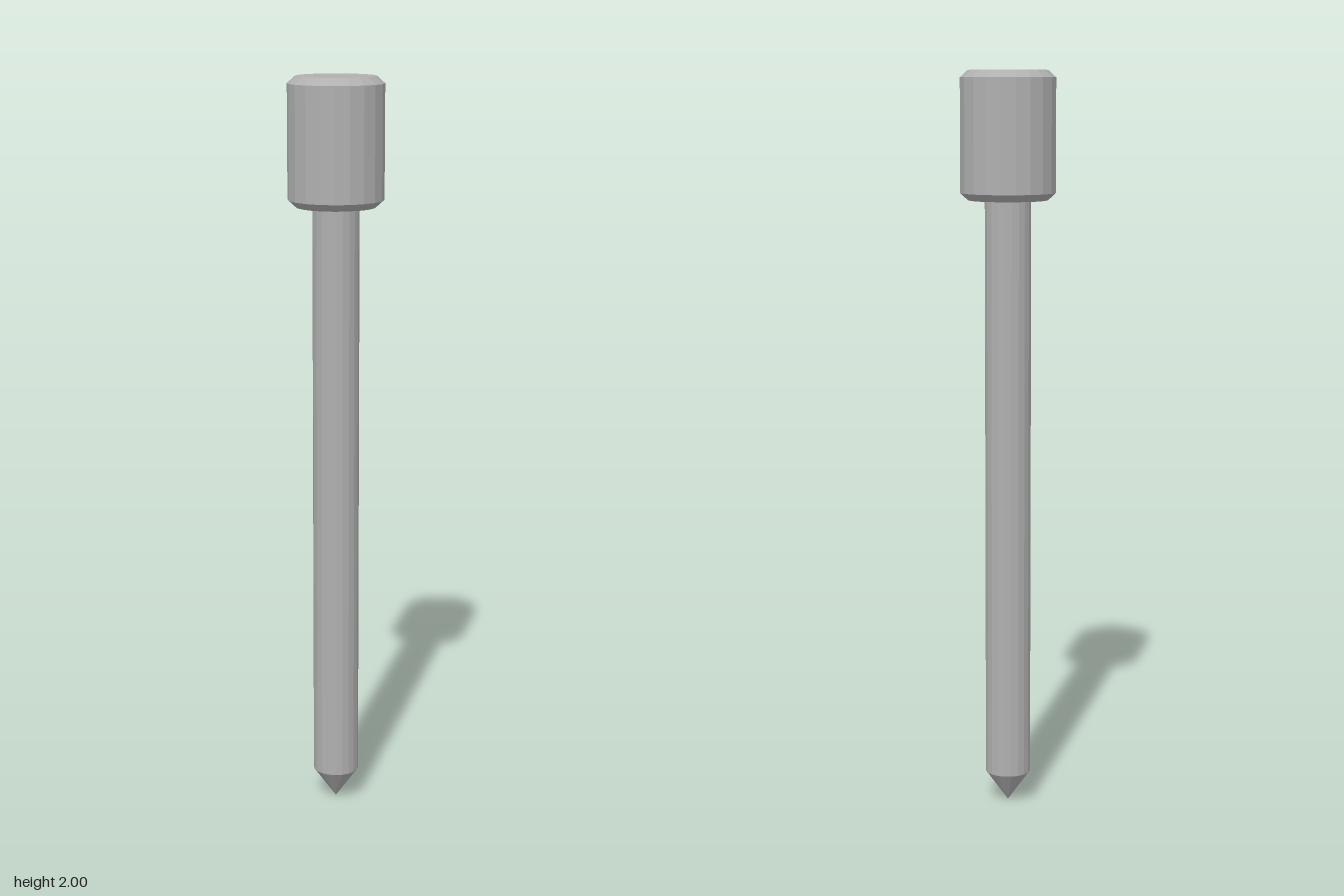
import * as THREE from 'three';

const SIDES = 20;

export function createModel() {
  const group = new THREE.Group();
  group.name = 'pin';
  const steel = new THREE.MeshStandardMaterial({ color: 0xb0b0b0, flatShading: true });
  steel.name = 'steel grey';

  // Each part is a faceted turned profile of [radius, height] points, bottom to top
  const addTurned = (name, profile) => {
    const points = profile.map(([r, y]) => new THREE.Vector2(r, y));
    const mesh = new THREE.Mesh(new THREE.LatheGeometry(points, SIDES), steel);
    mesh.name = name;
    group.add(mesh);
  };

  // Head with chamfered rims
  addTurned('head', [[0, 1.663], [0.106, 1.663], [0.127, 1.682], [0.127, 1.981], [0.106, 2], [0, 2]]);
  // Straight shaft
  addTurned('shaft', [[0.062, 0.087], [0.062, 1.664]]);
  // Pointed tip
  addTurned('tip', [[0, 0], [0.062, 0.087]]);

  return group;
}
